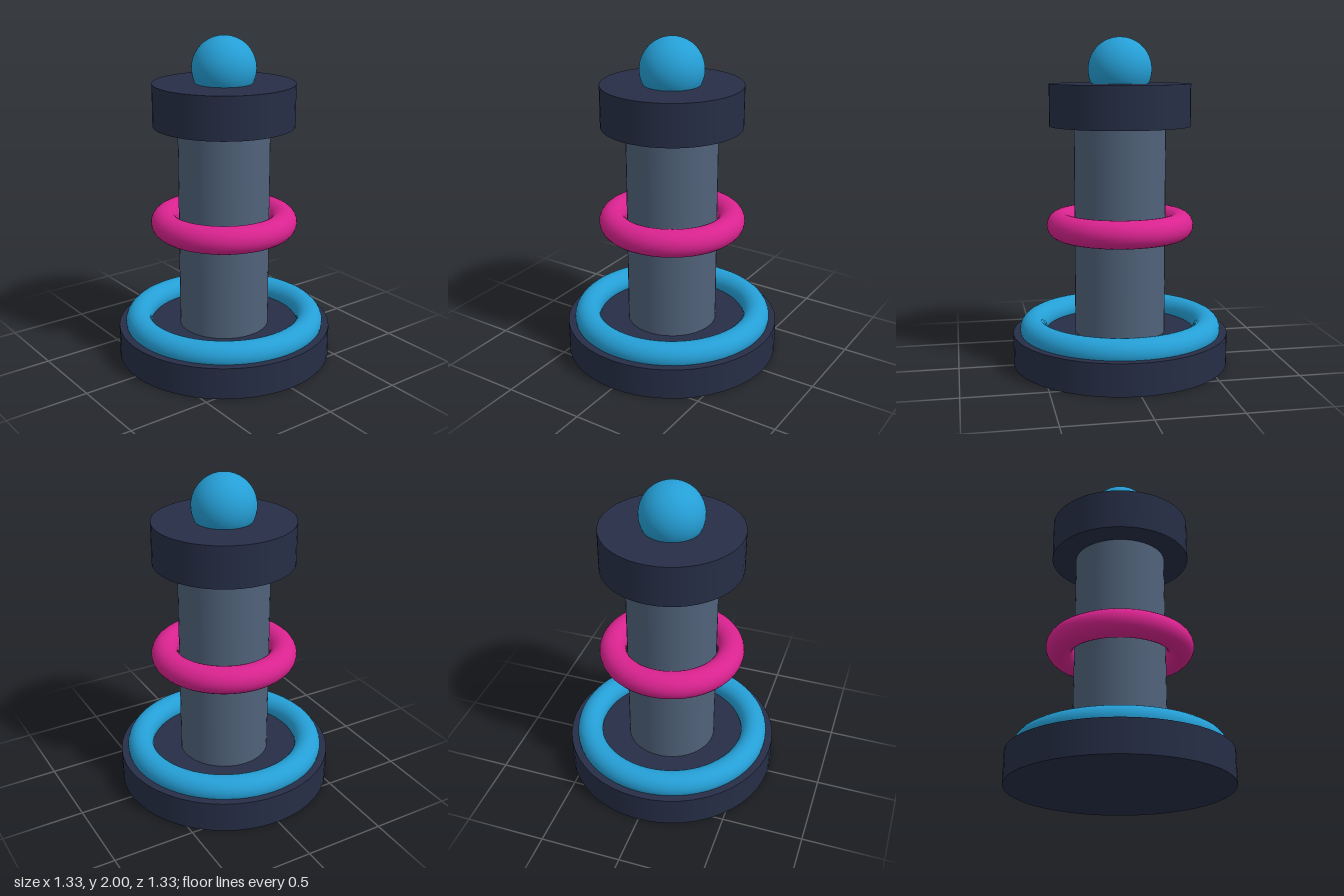
import * as THREE from 'three';

const material = (color) => new THREE.MeshStandardMaterial({ color });

export function createModel() {
  const model = new THREE.Group();
  const navy = material(0x262e46);
  const slate = material(0x50627a);
  const blue = material(0x259fd6);
  const pink = material(0xd9238f);

  const add = (name, geometry, mat, y) => {
    const mesh = new THREE.Mesh(geometry, mat);
    mesh.name = name;
    mesh.position.y = y;
    model.add(mesh);
  };
  // Upright cylinder spanning two heights
  const disc = (name, radius, y0, y1, mat) =>
    add(name, new THREE.CylinderGeometry(radius, radius, y1 - y0, 48), mat, (y0 + y1) / 2);
  // Ring lying flat around the y axis
  const ring = (name, radius, tube, y, mat) =>
    add(name, new THREE.TorusGeometry(radius, tube, 24, 64).rotateX(-Math.PI / 2), mat, y);

  // Base plate and the ring half sunk into it
  disc('base', 0.665, 0, 0.195, navy);
  ring('baseRing', 0.54, 0.082, 0.218, blue);

  // Column with its collar
  disc('column', 0.279, 0.19, 1.475, slate);
  ring('collarRing', 0.367, 0.083, 0.864, pink);

  // Cap and ball finial
  disc('cap', 0.428, 1.467, 1.722, navy);
  add('ball', new THREE.SphereGeometry(0.193, 48, 32), blue, 1.807);

  return model;
}
